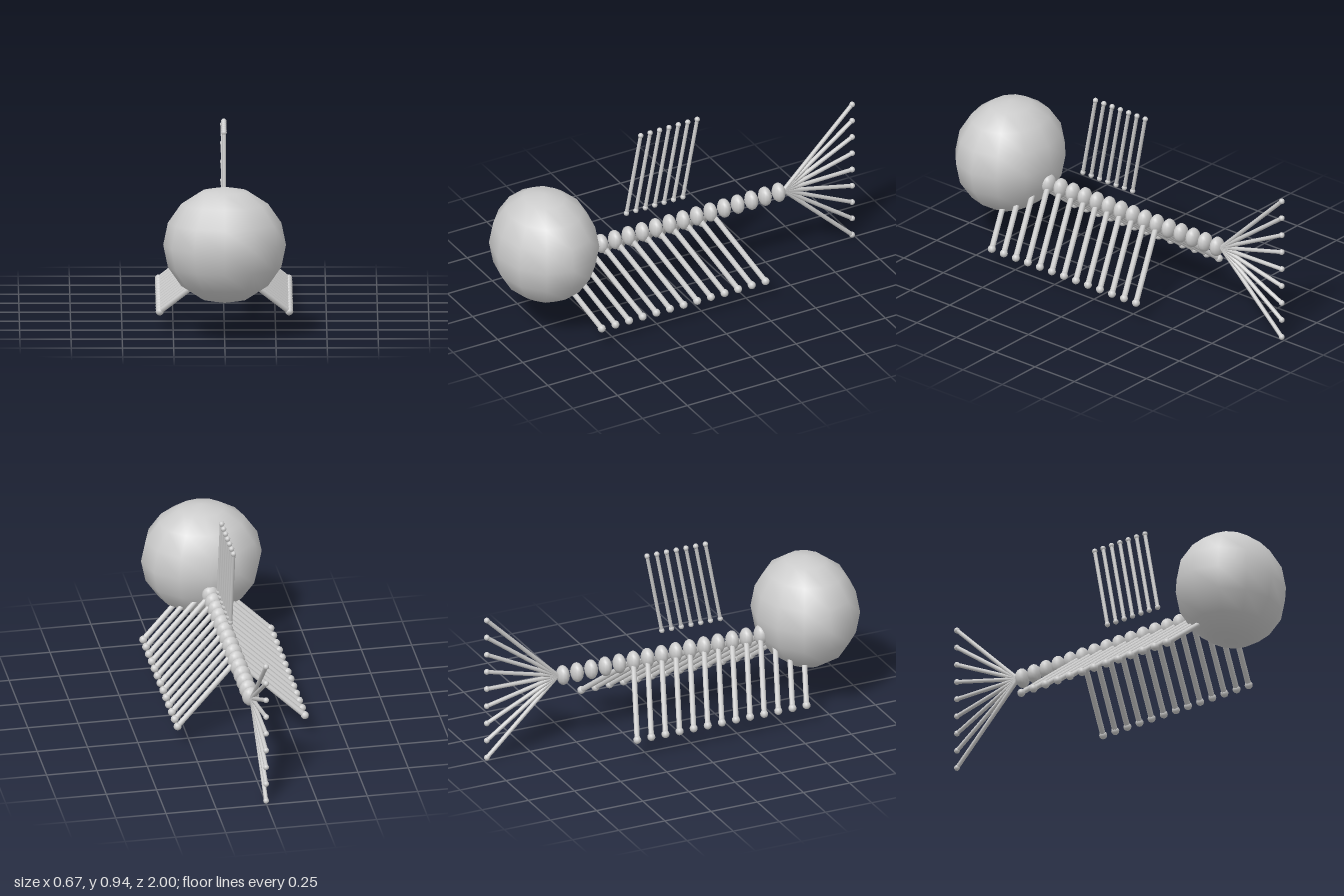
import * as THREE from 'three';

const material = new THREE.MeshStandardMaterial({ color: 0xcccccc });

function ellipsoid(name, pos, radii, w = 12, h = 8) {
  const mesh = new THREE.Mesh(new THREE.SphereGeometry(1, w, h), material);
  mesh.name = name;
  mesh.position.set(...pos);
  mesh.scale.set(...radii);
  return mesh;
}

// A thin bone between two points, with a round knob at the end (and optionally the start)
function bone(name, from, to, radius, knob, knobAtStart = false) {
  const group = new THREE.Group();
  group.name = name;
  const a = new THREE.Vector3(...from);
  const b = new THREE.Vector3(...to);
  const dir = b.clone().sub(a);
  const shaft = new THREE.Mesh(new THREE.CylinderGeometry(radius, radius, dir.length(), 8), material);
  shaft.name = name + 'Shaft';
  shaft.position.copy(a).add(b).multiplyScalar(0.5);
  shaft.quaternion.setFromUnitVectors(new THREE.Vector3(0, 1, 0), dir.normalize());
  group.add(shaft, ellipsoid(name + 'Knob', to, [knob, knob, knob]));
  if (knobAtStart) group.add(ellipsoid(name + 'Root', from, [knob, knob, knob]));
  return group;
}

export function createModel() {
  const model = new THREE.Group();
  model.name = 'fishSkeleton';
  const spineY = 0.377;
  const step = 0.0764;

  // Skull
  model.add(ellipsoid('skull', [0, 0.466, 0.74], [0.3, 0.288, 0.26]));

  // Vertebrae, the first 13 carrying a pair of ribs
  for (let i = 0; i < 18; i++) {
    const z = 0.726 - i * step;
    model.add(ellipsoid('vertebra', [0, spineY, z], [0.043, 0.05, 0.032]));
    if (i > 12) continue;
    for (const side of [-1, 1]) {
      model.add(bone(side > 0 ? 'leftRib' : 'rightRib',
        [0, spineY, z], [side * 0.316, 0.11, z - 0.131], 0.014, 0.02));
    }
  }

  // Dorsal fin spines, floating above the backbone
  for (let i = 0; i < 7; i++) {
    const z = 0.279 - i * 0.0527;
    model.add(bone('dorsalSpine', [0, 0.508, z], [0, 0.926, z - 0.08], 0.0095, 0.0135, true));
  }

  // Tail fin rays fanning out from the last vertebra
  for (let i = 0; i < 9; i++) {
    model.add(bone('tailRay', [0, spineY + 0.003, -0.6], [0, 0.015 + i * 0.0926, -0.985], 0.0105, 0.0145));
  }
  return model;
}
